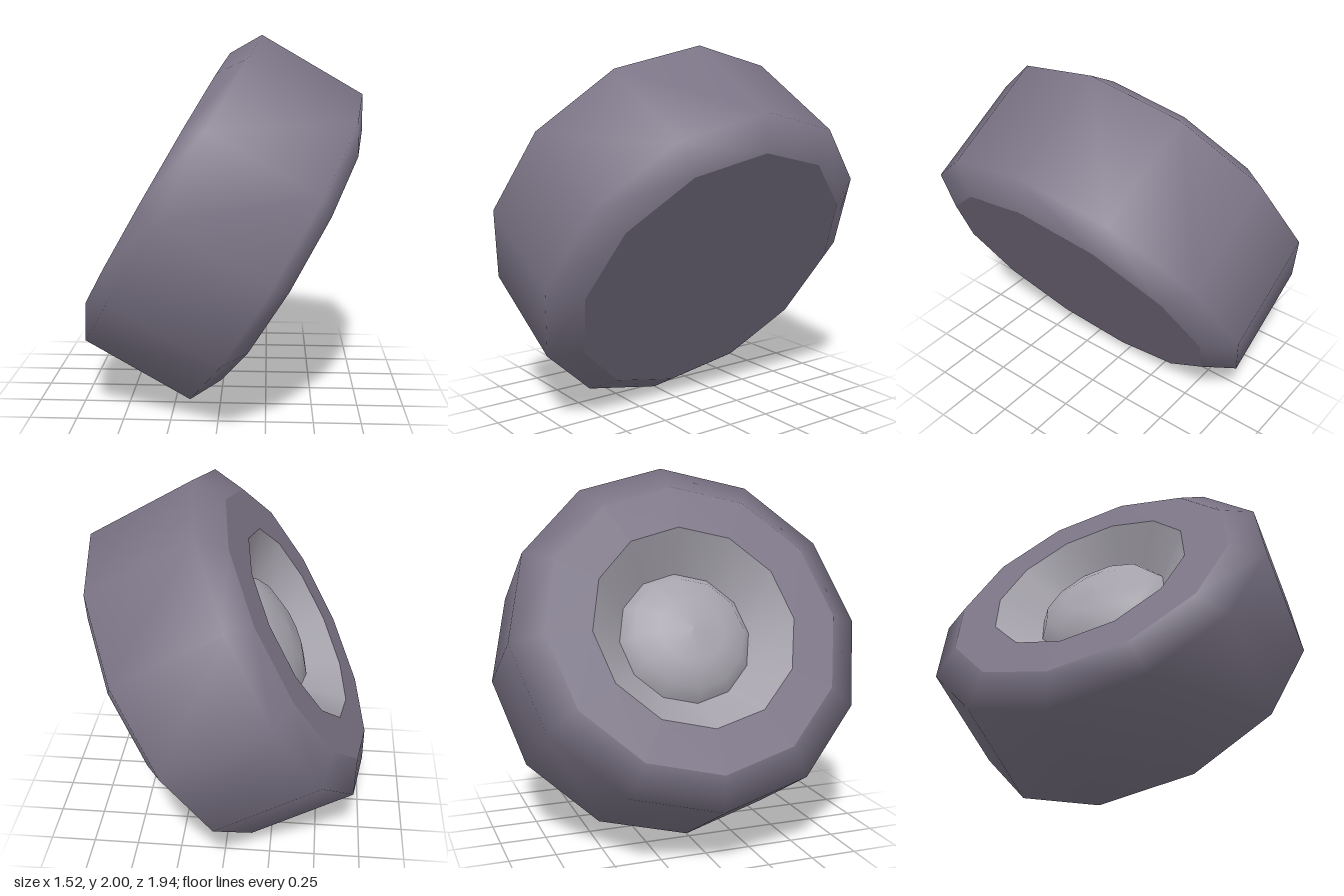
import * as THREE from 'three';

const SIDES = 12;

export function createModel() {
  const rubber = new THREE.MeshStandardMaterial({ color: 0x7c7587 });
  rubber.name = 'rubber';
  const metal = new THREE.MeshStandardMaterial({ color: 0xa5a2ab });
  metal.name = 'metal';

  const wheel = new THREE.Group();
  wheel.name = 'wheel';

  // Turn a [radius, height] profile around the axle; normals are smooth within each part
  function turn(name, material, profile) {
    const points = profile.map(([r, h]) => new THREE.Vector2(r, h));
    const mesh = new THREE.Mesh(new THREE.LatheGeometry(points, SIDES), material);
    mesh.name = name;
    wheel.add(mesh);
  }

  // Tire: closed inner side, bevelled tread, ring-shaped outer side
  turn('innerSidewall', rubber, [[0, -0.415], [0.8, -0.415]]);
  turn('tread', rubber, [[0.8, -0.415], [0.97, -0.315], [0.97, 0.315], [0.8, 0.415]]);
  turn('outerSidewall', rubber, [[0.8, 0.415], [0.56, 0.415]]);

  // Hub: sloping recess with a shallow dome in the middle
  turn('rimRecess', metal, [[0.56, 0.415], [0.37, 0.22]]);
  turn('hubDome', metal, [[0.37, 0.22], [0.31, 0.295], [0.18, 0.34], [0, 0.355]]);

  // Lean the axle so the hub looks up and to the side
  wheel.rotation.z = Math.PI / 3;
  wheel.position.y = 1;

  const model = new THREE.Group();
  model.name = 'tiltedWheel';
  model.add(wheel);
  return model;
}
